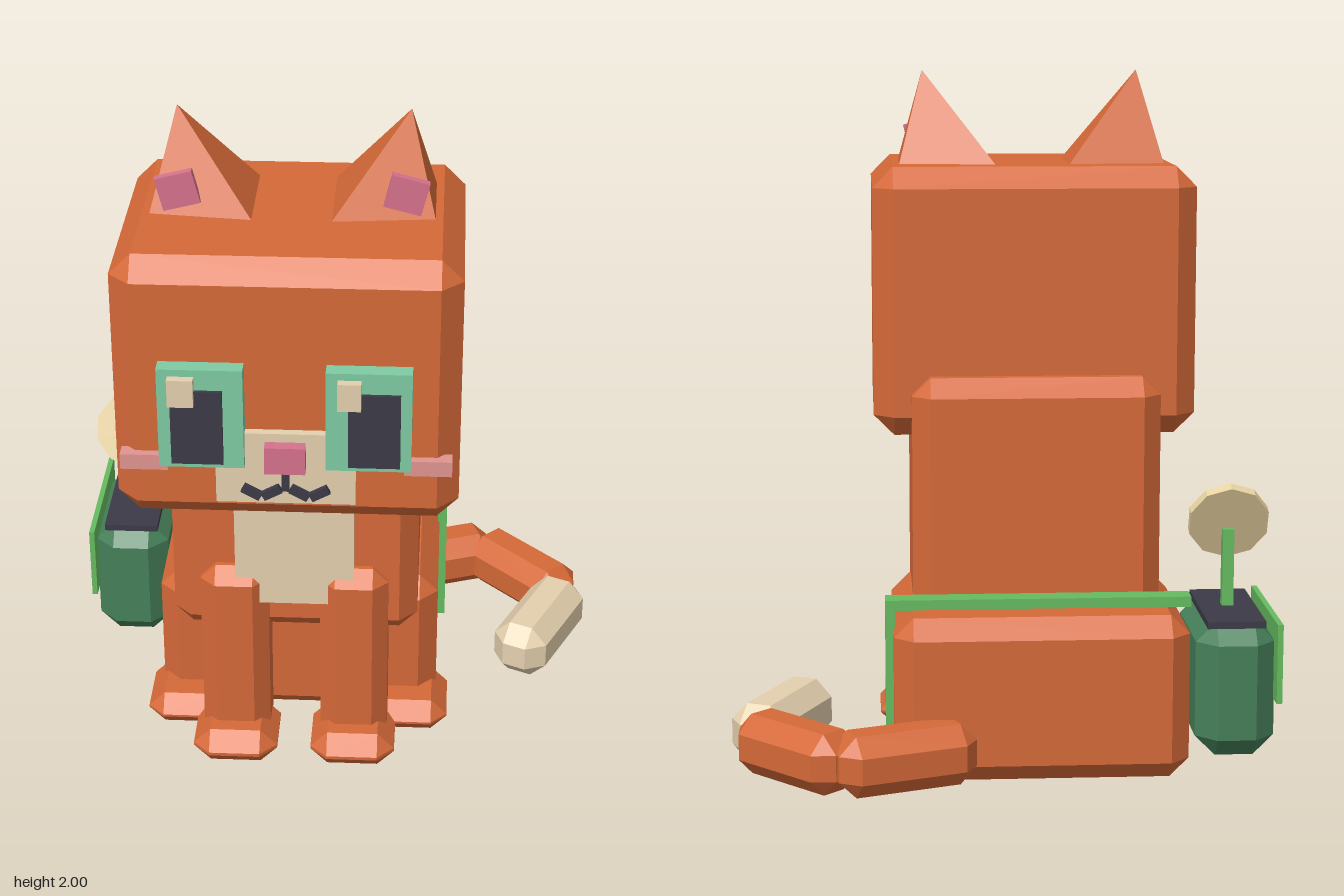
import * as THREE from 'three';
import { ConvexGeometry } from 'three/addons/geometries/ConvexGeometry.js';

const CENTRE = -0.105; // x of the cat's own mirror plane

const mat = (name, color) => {
  const m = new THREE.MeshStandardMaterial({ color });
  m.name = name;
  return m;
};

// Box with every edge cut off at 45 degrees
function chamferBox(w, h, d, c) {
  const pts = [];
  for (const sx of [-1, 1]) for (const sy of [-1, 1]) for (const sz of [-1, 1]) {
    const x = w / 2, y = h / 2, z = d / 2;
    pts.push(new THREE.Vector3(sx * x, sy * (y - c), sz * (z - c)));
    pts.push(new THREE.Vector3(sx * (x - c), sy * y, sz * (z - c)));
    pts.push(new THREE.Vector3(sx * (x - c), sy * (y - c), sz * z));
  }
  return new ConvexGeometry(pts);
}

export function createModel() {
  const model = new THREE.Group();
  model.name = 'cat';

  const fur = mat('orange fur', 0xd56938);
  const cream = mat('cream', 0xe4d0ae);
  const teal = mat('teal eye', 0x7fcba3);
  const dark = mat('dark navy', 0x3b3a47);
  const pink = mat('pink', 0xd5728c);
  const blush = mat('light pink', 0xe0948f);
  const green = mat('strap green', 0x66bb60);
  const bagGreen = mat('dark green', 0x468059);
  const brown = mat('brown', 0x8a5a3b);
  const petal = mat('petal cream', 0xe6d19f);

  const add = (name, geo, material, x = 0, y = 0, z = 0, parent = model) => {
    const m = new THREE.Mesh(geo, material);
    m.name = name;
    m.position.set(x, y, z);
    parent.add(m);
    return m;
  };
  // Both helpers take the minimum and maximum on each axis
  const box = (name, material, [x0, x1], [y0, y1], [z0, z1]) =>
    add(name, new THREE.BoxGeometry(x1 - x0, y1 - y0, z1 - z0), material,
      (x0 + x1) / 2, (y0 + y1) / 2, (z0 + z1) / 2);
  const cut = (name, material, [x0, x1], [y0, y1], [z0, z1], c) =>
    add(name, chamferBox(x1 - x0, y1 - y0, z1 - z0, c), material,
      (x0 + x1) / 2, (y0 + y1) / 2, (z0 + z1) / 2);

  // Head, torso, haunches
  cut('head', fur, [-0.575, 0.365], [0.95, 1.73], [-0.155, 0.6], 0.06);
  cut('torso', fur, [-0.465, 0.255], [0.4, 1.13], [-0.24, 0.325], 0.053);
  cut('haunches', fur, [-0.525, 0.315], [0.01, 0.485], [-0.49, 0.18], 0.055);
  box('bellyPatch', cream, [-0.275, 0.07], [0.53, 1.0], [0.3, 0.365]);

  // Muzzle and mouth
  box('muzzle', cream, [-0.295, 0.085], [1.03, 1.245], [0.58, 0.625]);
  box('nose', pink, [-0.16, -0.05], [1.14, 1.22], [0.6, 0.66]);
  box('mouthLine', dark, [-0.115, -0.095], [1.075, 1.15], [0.61, 0.64]);

  // Paired parts, mirrored about the cat's centre
  for (const s of [-1, 1]) {
    const side = s > 0 ? 'left' : 'right';
    const at = (d) => CENTRE + s * d;
    const span = (a, b) => [at(a), at(b)].sort((p, q) => p - q);

    // Legs and paws
    cut(side + 'FrontLeg', fur, span(0.075, 0.275), [0.03, 0.64], [0.19, 0.385], 0.045);
    cut(side + 'FrontPaw', fur, span(0.05, 0.3), [0.005, 0.115], [0.22, 0.48], 0.05);
    cut(side + 'HindPaw', fur, span(0.21, 0.455), [0.012, 0.115], [0.03, 0.3], 0.048);

    // Eye frame, cheek mark
    box(side + 'Eye', teal, span(0.11, 0.34), [1.15, 1.445], [0.59, 0.648]);
    box(side + 'Whisker', blush, span(0.32, 0.45), [1.125, 1.17], [0.58, 0.625]);

    // Mouth curls: one stroke rising inwards, one rising outwards
    [[0.038, 1], [0.092, -1]].forEach(([d, dir], i) => {
      const m = add(side + 'MouthCurl' + i, new THREE.BoxGeometry(0.055, 0.025, 0.03), dark,
        at(d), 1.068, 0.625);
      m.rotation.z = -s * dir * 0.5;
    });

    // Ear: pyramid leaning outwards, base sunk slightly into the head
    const ear = [[0.39, 1.725, 0.035], [0.105, 1.725, 0.005], [0.105, 1.725, 0.315],
      [0.39, 1.725, 0.285], [0.318, 2, 0.162]];
    add(side + 'Ear', new ConvexGeometry(ear.map(([d, y, z]) => new THREE.Vector3(at(d), y, z))), fur);
    const inner = add(side + 'InnerEar', new THREE.BoxGeometry(0.105, 0.095, 0.025), pink,
      at(0.31), 1.8, 0.277);
    inner.rotation.z = -s * 0.25;
  }

  // Pupils and highlights, both looking the same way
  for (const [side, p, h] of [['right', [-0.41, -0.27], [-0.415, -0.345]],
    ['left', [0.065, 0.205], [0.037, 0.1]]]) {
    box(side + 'Pupil', dark, p, [1.165, 1.385], [0.64, 0.658]);
    box(side + 'Highlight', cream, h, [1.345, 1.425], [0.64, 0.673]);
  }

  // Tail: three bars curling round on the cat's left
  const bars = [[0.29, -0.55, 0.94, -0.34, 0.41, fur], [0.59, -0.477, 0.7, 0.714, 0.395, fur],
    [0.64, -0.172, -0.42, 0.91, 0.4, cream]];
  bars.forEach(([x, z, dx, dz, len, m], i) => {
    const bar = add('tail' + i, chamferBox(0.175, 0.175, len, 0.05), m, x, 0.117, z);
    bar.rotation.y = Math.atan2(dx, dz);
  });

  // Strap over the back and down the left side
  box('strapTop', green, [-0.54, 0.338], [0.484, 0.514], [-0.343, -0.275]);
  box('strapSide', green, [0.31, 0.338], [0.085, 0.49], [-0.338, -0.27]);

  // Bag with lid opening, outer flap and clasp
  cut('bag', bagGreen, [-0.76, -0.535], [0.085, 0.475], [-0.535, -0.085], 0.058);
  box('bagOpening', dark, [-0.73, -0.565], [0.46, 0.48], [-0.505, -0.12]);
  box('bagFlap', green, [-0.773, -0.757], [0.25, 0.478], [-0.54, -0.075]);
  box('bagClasp', cream, [-0.788, -0.77], [0.24, 0.312], [-0.35, -0.265]);

  // Flower rising from the bag, its face tipped up
  box('flowerStem', green, [-0.665, -0.632], [0.47, 0.705], [-0.32, -0.287]);
  const flower = new THREE.Group();
  flower.name = 'flower';
  flower.position.set(-0.65, 0.727, -0.297);
  flower.rotation.x = Math.PI / 2 - 0.4;
  model.add(flower);
  const disc = (r, h, n) => new THREE.CylinderGeometry(r, r, h, n).toNonIndexed();
  for (const [name, r, h, n, m, y] of [['flowerPetals', 0.118, 0.03, 10, petal, 0],
    ['flowerCentre', 0.053, 0.04, 8, brown, 0.025]]) {
    const g = disc(r, h, n);
    g.computeVertexNormals();
    add(name, g, m, 0, y, 0, flower);
  }

  return model;
}
